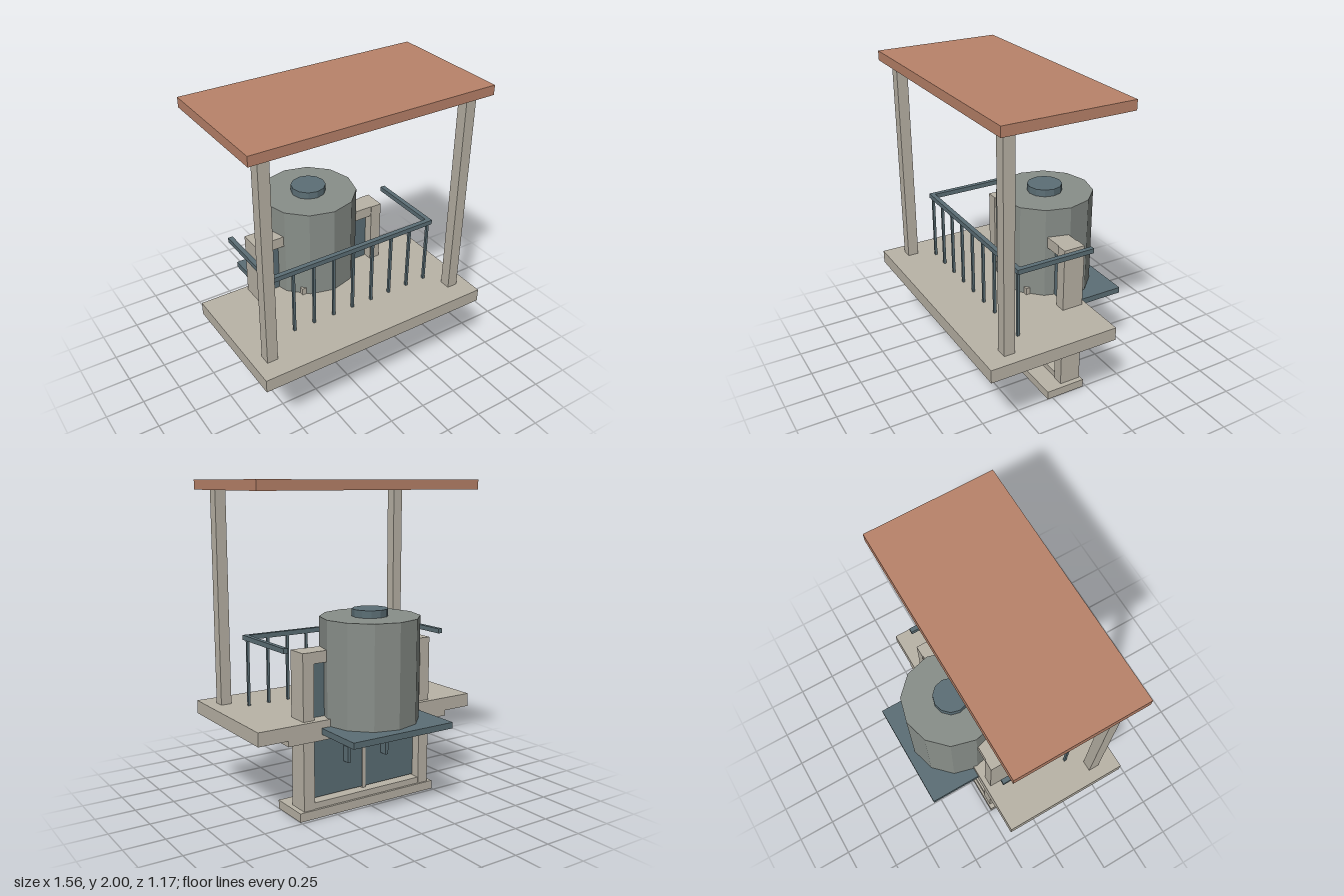
import * as THREE from 'three';

function material(name, color) {
  const m = new THREE.MeshStandardMaterial({ color });
  m.name = name;
  return m;
}

export function createModel() {
  const model = new THREE.Group();
  model.name = 'balconyTower';
  const stone = material('stone', 0xbab4a7);
  const clay = material('clay', 0xba836a);
  const slate = material('slate', 0x5c6f76);
  const metal = material('tankGrey', 0x898f8a);

  // Box given by its low and high limits on each axis
  function box(name, mat, x0, x1, y0, y1, z0, z1) {
    const mesh = new THREE.Mesh(new THREE.BoxGeometry(x1 - x0, y1 - y0, z1 - z0), mat);
    mesh.position.set((x0 + x1) / 2, (y0 + y1) / 2, (z0 + z1) / 2);
    mesh.name = name;
    model.add(mesh);
  }
  // The same box on both sides of x = 0
  function pair(name, mat, x0, x1, ...rest) {
    box(name + 'Left', mat, x0, x1, ...rest);
    box(name + 'Right', mat, -x1, -x0, ...rest);
  }
  // Faceted upright drum around the tank axis
  function drum(name, mat, radius, y0, y1) {
    const g = new THREE.CylinderGeometry(radius, radius, y1 - y0, 12).toNonIndexed();
    g.computeVertexNormals();
    const mesh = new THREE.Mesh(g, mat);
    mesh.position.set(0, (y0 + y1) / 2, -0.225);
    mesh.name = name;
    model.add(mesh);
  }

  // Roof and its posts
  box('roof', clay, -0.78, 0.78, 1.94, 2, -0.29, 0.515);
  pair('roofPost', stone, 0.633, 0.702, 0.6, 1.94, 0.39, 0.46);

  // Balcony floor with its lower course
  box('floorSlab', stone, -0.78, 0.78, 0.525, 0.61, -0.25, 0.585);
  box('lowerSlab', stone, -0.585, 0.585, 0.49, 0.525, -0.25, 0.31);

  // Plinth and door frame
  box('plinth', stone, -0.5, 0.5, 0, 0.055, -0.23, 0.035);
  pair('pillar', stone, 0.393, 0.467, 0.055, 1.02, -0.22, -0.08);
  box('lintel', stone, -0.393, 0.393, 0.95, 1.02, -0.215, -0.085);
  box('sill', stone, -0.393, 0.393, 0.055, 0.095, -0.215, -0.085);
  box('doorPanel', slate, -0.388, 0.388, 0.105, 0.94, -0.165, -0.135);
  box('mullion', stone, -0.012, 0.012, 0.095, 0.49, -0.17, -0.12);

  // Vent box under the floor, with slats, stubs and brackets
  box('ventBox', stone, -0.2, 0.2, 0.385, 0.49, -0.08, 0.02);
  for (const y of [0.437, 0.478]) box('ventSlat', slate, -0.157, 0.157, y - 0.005, y + 0.005, 0.018, 0.035);
  pair('floorStub', stone, 0.172, 0.202, 0.6, 0.655, -0.005, 0.022);
  pair('bracket', slate, 0.13, 0.152, 0.3, 0.4, -0.218, 0.02);
  pair('plateBolt', slate, 0.13, 0.152, 0.505, 0.53, -0.268, -0.245);

  // Tank on its plate
  box('tankPlate', slate, -0.36, 0.36, 0.527, 0.565, -0.585, 0.13);
  drum('tank', metal, 0.305, 0.565, 1.2);
  drum('tankCap', slate, 0.11, 1.2, 1.245);

  // Railing
  box('frontRail', slate, -0.585, 0.585, 1.03, 1.06, 0.275, 0.305);
  pair('sideRail', slate, 0.555, 0.585, 1.03, 1.06, -0.205, 0.275);
  for (let i = -4; i <= 4; i++) {
    const x = i * 0.14;
    box('baluster', slate, x - 0.008, x + 0.008, 0.6, 1.03, 0.282, 0.298);
  }
  return model;
}
